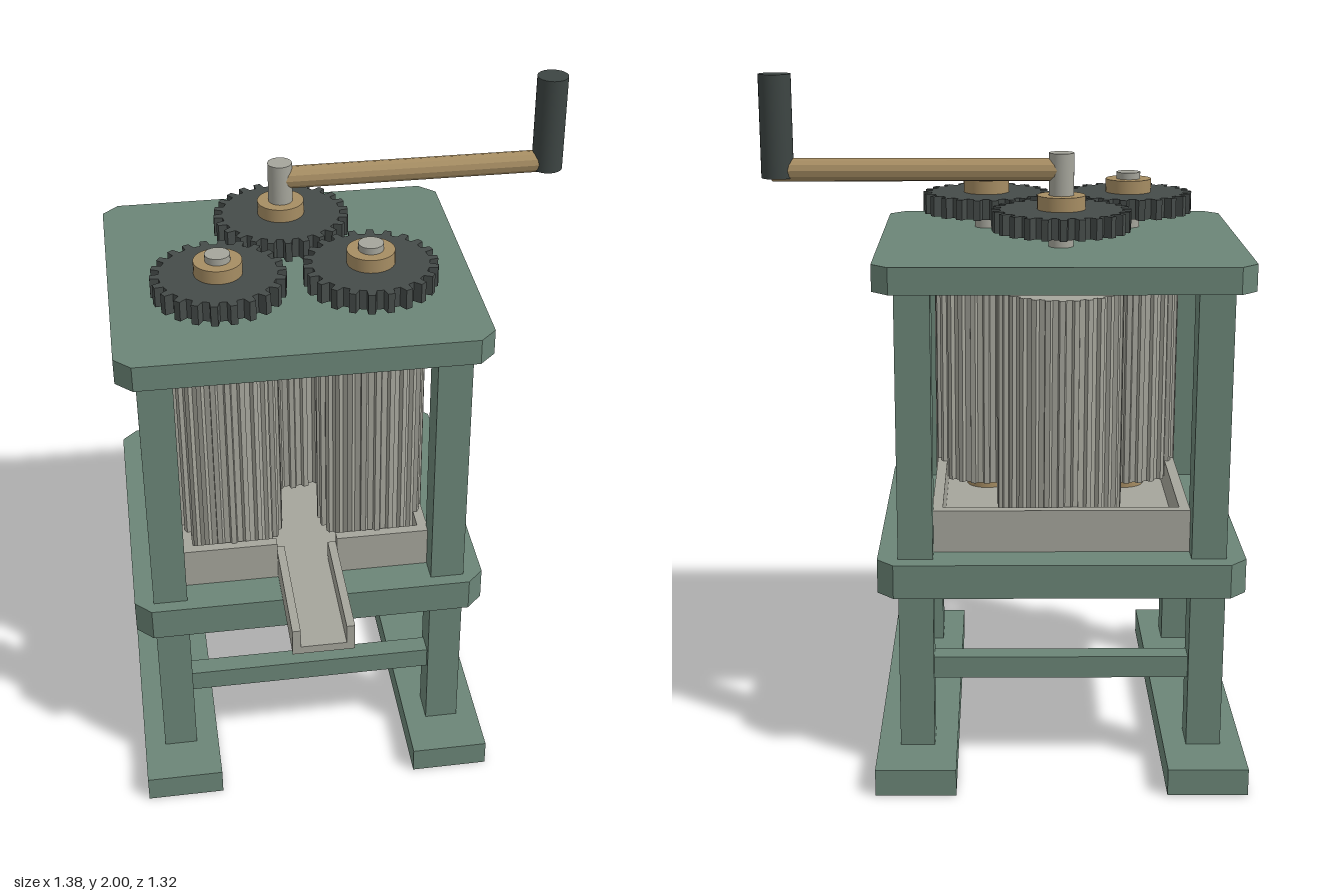
import * as THREE from 'three';

const paint = (color, flat = false) => new THREE.MeshStandardMaterial({ color, flatShading: flat });
const GREEN = paint(0x6b8577), STEEL = paint(0xa5a59b), BRASS = paint(0xa68d63);
const IRON = paint(0x454b49), GRIP = paint(0x3d4543), ARM = paint(0xa68d63, true);

// Centre of the frame; all rollers, plates and the tray are set out from here
const CX = -0.16, CZ = -0.073;

export function createModel() {
  const model = new THREE.Group();

  const add = (name, geometry, material, x = 0, y = 0, z = 0, parent = model) => {
    const mesh = new THREE.Mesh(geometry, material);
    mesh.name = name;
    mesh.position.set(x, y, z);
    parent.add(mesh);
    return mesh;
  };
  // Box given by its limits on each axis
  const box = (name, material, x0, x1, y0, y1, z0, z1, parent) =>
    add(name, new THREE.BoxGeometry(x1 - x0, y1 - y0, z1 - z0), material,
      (x0 + x1) / 2, (y0 + y1) / 2, (z0 + z1) / 2, parent);
  // Upright cylinder between two heights
  const rod = (name, material, r, y0, y1, x, z, parent) =>
    add(name, new THREE.CylinderGeometry(r, r, y1 - y0, 32), material, x, (y0 + y1) / 2, z, parent);
  // Flat outline raised between two heights
  const slab = (name, material, points, y0, y1, x, z, parent) => {
    const g = new THREE.ExtrudeGeometry(new THREE.Shape(points), { depth: y1 - y0, bevelEnabled: false });
    g.rotateX(-Math.PI / 2);
    return add(name, g, material, x, y0, z, parent);
  };
  // Toothed outline: each tooth is a trapezoid, fractions are of one tooth pitch
  const toothed = (teeth, root, tip) => {
    const points = [];
    for (let i = 0; i < teeth; i++) {
      for (const [f, r] of [[-0.29, root], [-0.18, tip], [0.18, tip], [0.29, root]]) {
        const a = ((i + f) / teeth) * Math.PI * 2;
        points.push(new THREE.Vector2(Math.cos(a) * r, Math.sin(a) * r));
      }
    }
    return points;
  };

  // Feet, posts and cross rails
  for (const [x0, x1] of [[-0.693, -0.463], [0.141, 0.372]])
    box('foot', GREEN, x0, x1, 0, 0.08, -0.66, 0.515);
  for (const x of [-0.58, 0.257]) {
    for (const z of [-0.453, 0.319])
      box('post', GREEN, x - 0.05, x + 0.05, 0.08, 1.44, z - 0.049, z + 0.049);
  }
  for (const z of [-0.453, 0.319])
    box('crossRail', GREEN, -0.53, 0.207, 0.285, 0.35, z - 0.03, z + 0.03);

  // Chamfered plates
  const w = 0.526, d = 0.48, c = 0.048;
  const outline = [[-w + c, -d], [w - c, -d], [w, -d + c], [w, d - c],
    [w - c, d], [-w + c, d], [-w, d - c], [-w, -d + c]].map(([x, y]) => new THREE.Vector2(x, y));
  slab('lowerPlate', GREEN, outline, 0.56, 0.66, CX, CZ);
  slab('upperPlate', GREEN, outline, 1.437, 1.513, CX, CZ);

  // Juice tray with an opening in its front wall
  const tray = new THREE.Group();
  tray.name = 'tray';
  model.add(tray);
  const t = 0.03, x0 = CX - 0.37, x1 = CX + 0.37, z0 = CZ - 0.37, z1 = CZ + 0.37;
  box('trayFloor', STEEL, x0, x1, 0.66, 0.69, z0, z1, tray);
  box('trayBackWall', STEEL, x0, x1, 0.69, 0.785, z0, z0 + t, tray);
  box('traySideWall', STEEL, x0, x0 + t, 0.69, 0.785, z0 + t, z1, tray);
  box('traySideWall', STEEL, x1 - t, x1, 0.69, 0.785, z0 + t, z1, tray);
  box('trayFrontWall', STEEL, x0 + t, CX - 0.09, 0.69, 0.785, z1 - t, z1, tray);
  box('trayFrontWall', STEEL, CX + 0.09, x1 - t, 0.69, 0.785, z1 - t, z1, tray);

  // Spout
  box('spoutFloor', STEEL, CX - 0.09, CX + 0.09, 0.667, 0.692, z1 - t, 0.657, tray);
  for (const s of [-1, 1]) {
    const x = CX + s * 0.078;
    box('spoutWall', STEEL, x - 0.012, x + 0.012, 0.692, 0.752, z1 - t, 0.657, tray);
  }

  // Rollers, each with shaft, bearings and drive gear
  const rollers = [
    { x: CX, z: -0.228, r: 0.185, ribs: 28, gear: 0.2, teeth: 24, top: 1.78 },
    { x: CX - 0.216, z: 0.113, r: 0.161, ribs: 24, gear: 0.192, teeth: 22, top: 1.68 },
    { x: CX + 0.216, z: 0.113, r: 0.161, ribs: 24, gear: 0.192, teeth: 22, top: 1.68 },
  ];
  for (const { x, z, r, ribs, gear, teeth, top } of rollers) {
    const unit = new THREE.Group();
    unit.name = 'rollerUnit';
    unit.position.set(x, 0, z);
    model.add(unit);
    slab('roller', STEEL, toothed(ribs, r - 0.012, r), 0.735, 1.39, 0, 0, unit);
    slab('gear', IRON, toothed(teeth, gear - 0.025, gear), 1.56, 1.62, 0, 0, unit);
    rod('shaft', STEEL, 0.036, 0.69, top, 0, 0, unit);
    rod('lowerBearing', BRASS, 0.064, 0.69, 0.735, 0, 0, unit);
    rod('upperBearing', BRASS, 0.063, 1.39, 1.437, 0, 0, unit);
    rod('gearCollar', BRASS, 0.069, 1.62, 1.66, 0, 0, unit);
  }

  // Crank on the back roller's shaft
  const arm = new THREE.CylinderGeometry(0.033, 0.033, 0.82, 12);
  arm.rotateZ(Math.PI / 2);
  add('crankArm', arm, ARM, 0.25, 1.732, -0.228);
  rod('crankGrip', GRIP, 0.046, 1.71, 2, 0.645, -0.228);

  return model;
}
